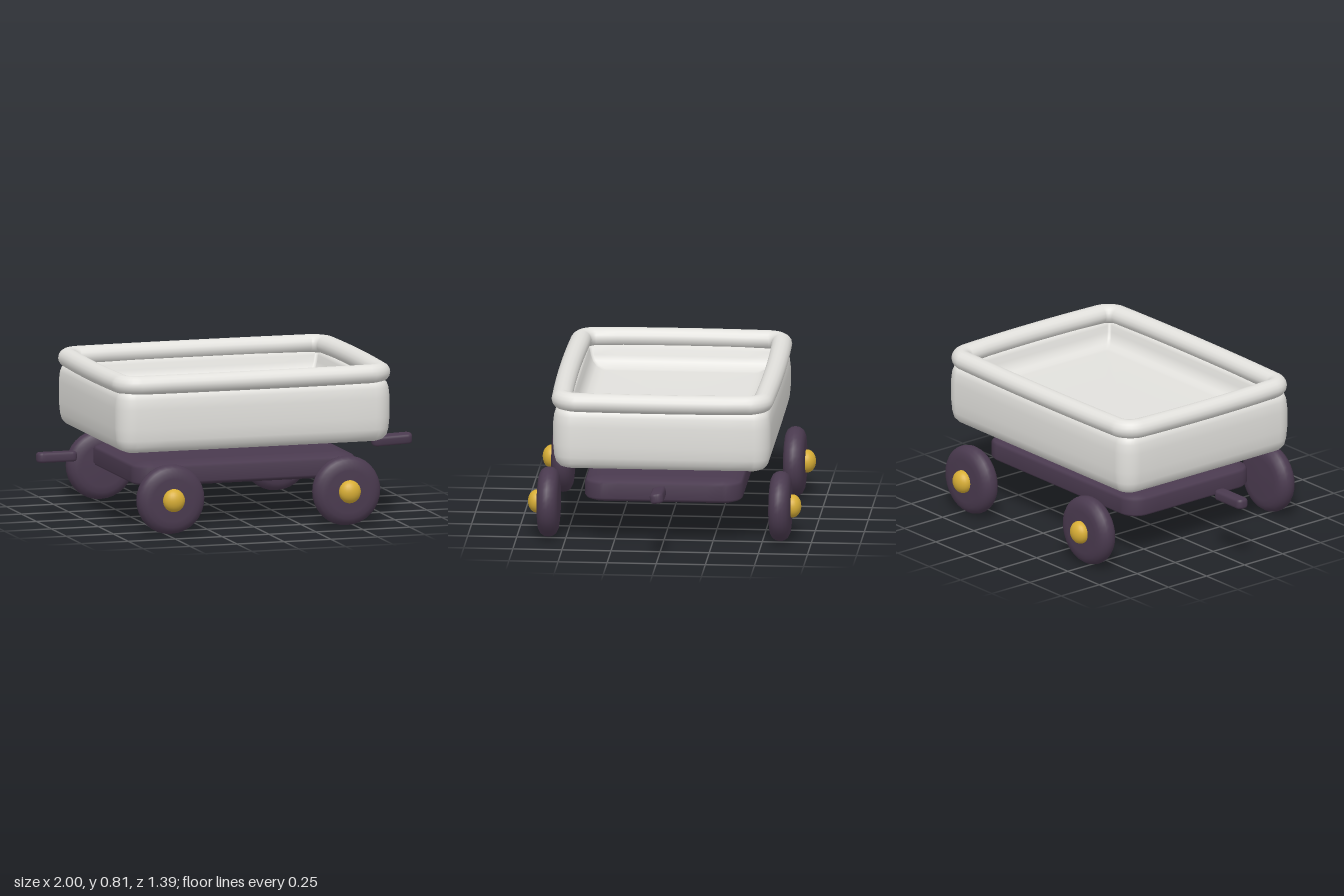
import * as THREE from 'three';

const mat = (name, color) => Object.assign(new THREE.MeshStandardMaterial({ color }), { name });

// Outline of a rounded rectangle whose sides may bulge slightly outwards
function outline(hx, hz, r, bulge) {
  const corners = [[1, 1], [-1, 1], [-1, -1], [1, -1]];
  const arcs = corners.map(([sx, sz], k) => Array.from({ length: 9 }, (_, i) => {
    const a = (k + i / 8) * Math.PI / 2;
    return [sx * (hx - r) + r * Math.cos(a), sz * (hz - r) + r * Math.sin(a)];
  }));
  const pts = [];
  arcs.forEach((arc, k) => {
    pts.push(...arc);
    const p = arc[8], q = arcs[(k + 1) % 4][0];
    for (let i = 1; i < 8; i++) {
      pts.push([p[0] + (q[0] - p[0]) * i / 8, p[1] + (q[1] - p[1]) * i / 8]);
    }
  });
  return pts.map(([x, z]) => [x * (1 - bulge * (z / hz) ** 2), z * (1 - bulge * (x / hx) ** 2)]);
}

// Sweeps a profile of [inset, y] pairs round the outline; open profiles get caps
function loft(hx, hz, r, bulge, profile, closed = false) {
  const pos = [], index = [];
  for (const [d, y] of profile) {
    for (const [x, z] of outline(hx - d, hz - d, Math.max(r - d, 0.015), bulge)) pos.push(x, y, z);
  }
  const n = pos.length / 3 / profile.length, rows = profile.length;
  for (let i = 0; i < (closed ? rows : rows - 1); i++) {
    for (let j = 0; j < n; j++) {
      const k = (j + 1) % n, up = ((i + 1) % rows) * n;
      index.push(i * n + j, up + j, i * n + k, i * n + k, up + j, up + k);
    }
  }
  if (!closed) {
    const c = pos.length / 3, top = (rows - 1) * n;
    pos.push(0, profile[0][1], 0, 0, profile[rows - 1][1], 0);
    for (let j = 0; j < n; j++) {
      const k = (j + 1) % n;
      index.push(c, j, k, c + 1, top + k, top + j);
    }
  }
  const g = new THREE.BufferGeometry();
  g.setAttribute('position', new THREE.Float32BufferAttribute(pos, 3));
  g.setIndex(index);
  g.computeVertexNormals();
  return g;
}

export function createModel() {
  const model = new THREE.Group();
  model.name = 'wagon';
  const white = mat('offWhite', 0xe2e1dd);
  const purple = mat('darkPurple', 0x4a3a4f);
  const gold = mat('gold', 0xd8ae36);

  const add = (name, geometry, material, x = 0, y = 0, z = 0) => {
    const m = new THREE.Mesh(geometry, material);
    m.name = name;
    m.position.set(x, y, z);
    model.add(m);
    return m;
  };

  // Tray: outer wall, top edge, and an inner wall curving softly into the floor
  add('tray', loft(0.732, 0.556, 0.095, 0.003, [
    [0.09, 0.412], [0.065, 0.414], [0.035, 0.425], [0.015, 0.447], [0.006, 0.48],
    [0, 0.54], [0, 0.64], [0.006, 0.69], [0.016, 0.715], [0.035, 0.73], [0.075, 0.73],
    [0.085, 0.71], [0.092, 0.68], [0.104, 0.652], [0.125, 0.632], [0.155, 0.622], [0.18, 0.62],
  ]), white);

  // Rolled rim
  const ring = Array.from({ length: 16 }, (_, i) => {
    const a = i * Math.PI / 8;
    return [0.052 - 0.052 * Math.cos(a), 0.763 + 0.049 * Math.sin(a)];
  });
  add('rim', loft(0.753, 0.574, 0.125, 0.025, ring, true), white);

  // Chassis plate with sloping edges
  add('chassis', loft(0.595, 0.402, 0.1, 0, [
    [0.1, 0.21], [0.08, 0.21], [0.04, 0.217], [0.01, 0.228], [0, 0.24],
    [0, 0.31], [0.01, 0.322], [0.04, 0.333], [0.08, 0.34], [0.1, 0.34],
  ]), purple);

  // Small grips at both ends
  const grip = loft(0.106, 0.034, 0.028, 0, [
    [0.012, -0.025], [0.004, -0.022], [0, -0.012], [0, 0.012], [0.004, 0.022], [0.012, 0.025],
  ]);
  add('rightGrip', grip, purple, -0.894, 0.333, 0);
  add('leftGrip', grip, purple, 0.892, 0.337, 0).rotation.set(0.15, 0, 0.04);

  // Wheels with rounded treads, and domed hubs on their outer faces
  const wheelProfile = [
    [0, -0.055], [0.11, -0.054], [0.14, -0.05], [0.162, -0.039], [0.175, -0.021], [0.179, 0],
    [0.175, 0.021], [0.162, 0.039], [0.14, 0.05], [0.11, 0.054], [0, 0.055],
  ].map(([x, y]) => new THREE.Vector2(x, y));
  const wheel = new THREE.LatheGeometry(wheelProfile, 32).rotateX(Math.PI / 2);
  const hub = new THREE.SphereGeometry(1, 24, 16).scale(0.057, 0.059, 0.045);
  for (const [end, x] of [['right', -0.475], ['left', 0.462]]) {
    for (const [side, s] of [['Front', 1], ['Back', -1]]) {
      add(end + side + 'Wheel', wheel, purple, x, 0.184, s * 0.59);
      add(end + side + 'Hub', hub, gold, x, 0.186, s * 0.651);
    }
  }
  return model;
}
